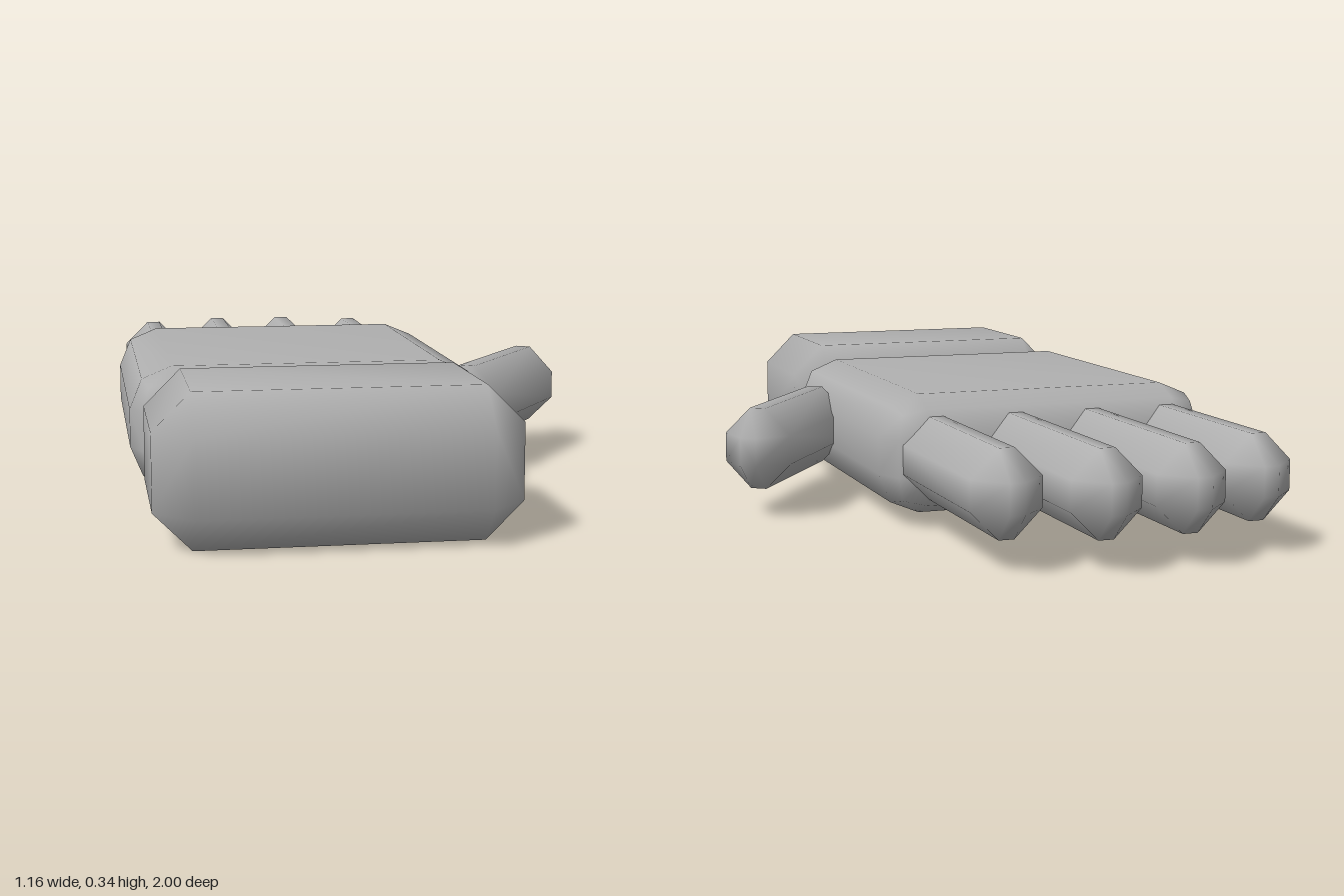
import * as THREE from 'three';
import { ConvexGeometry } from 'three/addons/geometries/ConvexGeometry.js';
import { mergeVertices } from 'three/addons/utils/BufferGeometryUtils.js';

// Bevelled box: a small direction set is swept to all eight inner corners.
const CHAMFER = [[1, 0, 0], [0, 1, 0], [0, 0, 1]];
const D = Math.SQRT1_2, T = 1 / Math.sqrt(3);
const ROUND = [...CHAMFER, [D, D, 0], [D, 0, D], [0, D, D], [T, T, T]];

function bevelBox(w, h, d, r, directions) {
  const points = [];
  for (const sx of [-1, 1]) for (const sy of [-1, 1]) for (const sz of [-1, 1]) {
    for (const [x, y, z] of directions) {
      points.push(new THREE.Vector3(
        sx * (w / 2 - r + r * x), sy * (h / 2 - r + r * y), sz * (d / 2 - r + r * z)));
    }
  }
  // Weld the hull so that the bevels shade smoothly
  const hull = new ConvexGeometry(points);
  hull.deleteAttribute('normal');
  const geometry = mergeVertices(hull, 1e-4);
  geometry.computeVertexNormals();
  return geometry;
}

export function createModel() {
  const hand = new THREE.Group();
  hand.name = 'hand';
  const grey = new THREE.MeshStandardMaterial({ color: 0xb0b0b0 });
  grey.name = 'grey';

  const add = (name, geometry, x, y, z) => {
    const mesh = new THREE.Mesh(geometry, grey);
    mesh.name = name;
    mesh.position.set(x, y, z);
    hand.add(mesh);
    return mesh;
  };

  // Wrist cuff and palm
  add('wrist', bevelBox(0.79, 0.335, 0.5, 0.083, CHAMFER), -0.165, 0.1675, 0.75);
  add('palm', bevelBox(0.84, 0.29, 0.93, 0.1, ROUND), -0.165, 0.17, 0.035);

  // Four fingers, the middle two longer, rooted inside the palm
  const root = -0.34;
  [['littleFinger', -0.467, -0.93], ['ringFinger', -0.267, -1],
    ['middleFinger', -0.067, -1], ['indexFinger', 0.134, -0.93]].forEach(([name, x, tip]) => {
    add(name, bevelBox(0.166, 0.2, root - tip, 0.065, CHAMFER), x, 0.17, (root + tip) / 2);
  });

  // Thumb splayed outwards
  const thumb = add('thumb', bevelBox(0.17, 0.2, 0.54, 0.065, CHAMFER), 0.387, 0.17, 0.031);
  thumb.rotation.y = -THREE.MathUtils.degToRad(35);

  return hand;
}
